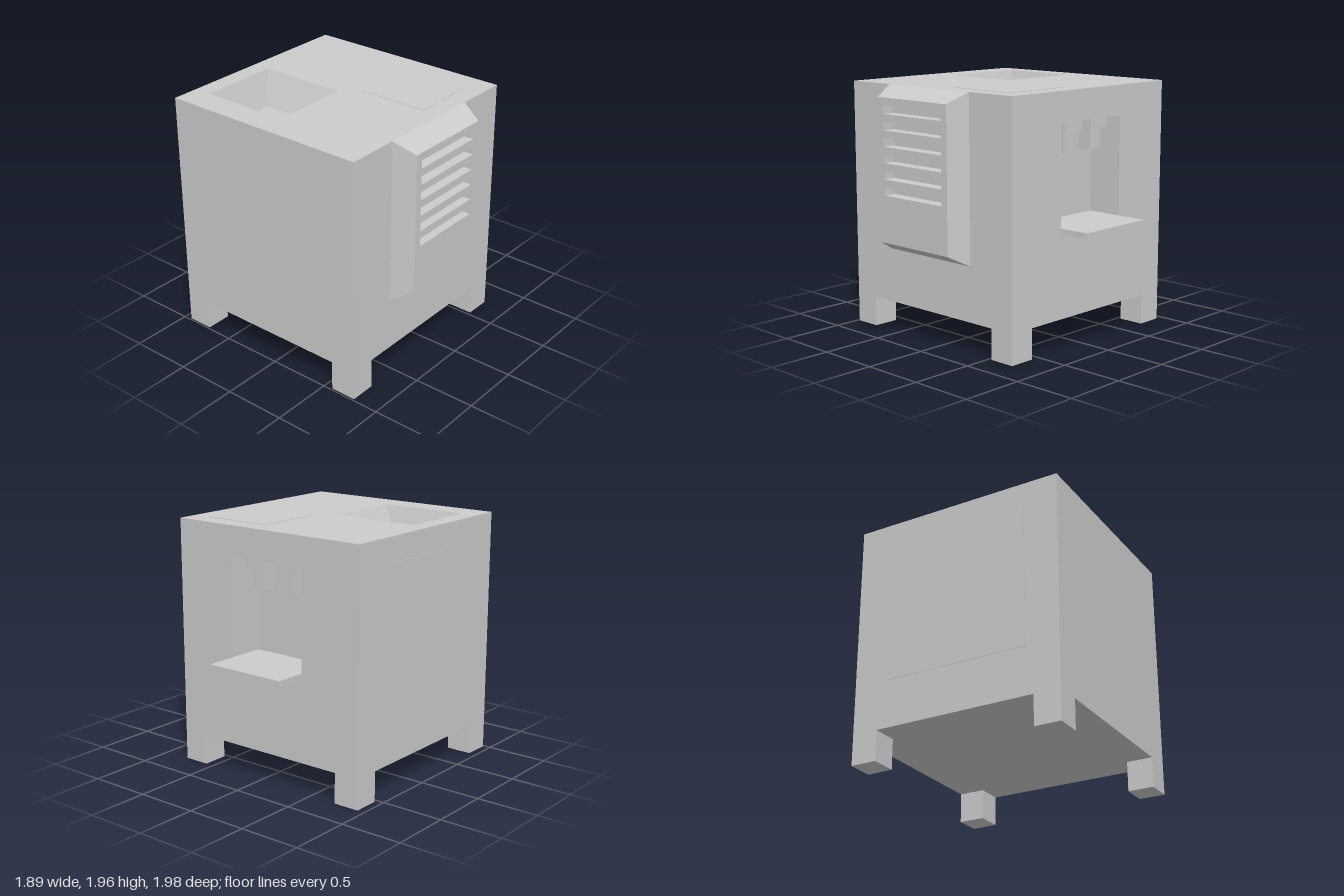
import * as THREE from 'three';
import { mergeGeometries } from 'three/addons/utils/BufferGeometryUtils.js';

const V = (x, y, z) => new THREE.Vector3(x, y, z);
const material = new THREE.MeshStandardMaterial({ color: 0xcccccc, flatShading: true });

// Each side has its own frame: u to the right, v up, d outward.
const frame = (u, v, d) => new THREE.Matrix4().makeBasis(u, v, d);
const SIDES = {
  front: frame(V(1, 0, 0), V(0, 1, 0), V(0, 0, 1)),
  back: frame(V(-1, 0, 0), V(0, 1, 0), V(0, 0, -1)),
  left: frame(V(0, 0, -1), V(0, 1, 0), V(1, 0, 0)),
  right: frame(V(0, 0, 1), V(0, 1, 0), V(-1, 0, 0)),
  top: frame(V(1, 0, 0), V(0, 0, -1), V(0, 1, 0)),
  bottom: frame(V(1, 0, 0), V(0, 0, 1), V(0, -1, 0)),
};

// Rectangles are [u0, v0, u1, v1].
const corners = ([a, b, c, d]) => [[a, b], [c, b], [c, d], [a, d]];

// Flat rectangle at height d with rectangular openings
function plate(rect, d, holes = []) {
  const path = (r) => corners(r).map(([x, y]) => new THREE.Vector2(x, y));
  const shape = new THREE.Shape(path(rect));
  shape.holes = holes.map((h) => new THREE.Path(path(h).reverse()));
  const g = new THREE.ShapeGeometry(shape).toNonIndexed();
  g.deleteAttribute('uv');
  return g.translate(0, 0, d);
}

// Four walls from one rectangle to another: a bump if d1 > d0, a pocket if d1 < d0
function walls(r0, d0, r1, d1) {
  const a = corners(r0), b = corners(r1), points = [];
  for (let i = 0; i < 4; i++) {
    const j = (i + 1) % 4;
    const q = [V(...a[i], d0), V(...a[j], d0), V(...b[j], d1), V(...b[i], d1)];
    points.push(q[0], q[1], q[2], q[0], q[2], q[3]);
  }
  const g = new THREE.BufferGeometry().setFromPoints(points);
  g.computeVertexNormals();
  return g;
}
const capped = (r0, d0, r1, d1) => [walls(r0, d0, r1, d1), plate(r1, d1)];

export function createModel() {
  const model = new THREE.Group();

  const add = (name, geometry) => {
    const mesh = new THREE.Mesh(geometry, material);
    mesh.name = name;
    model.add(mesh);
    return mesh;
  };
  const addOn = (side, name, parts) => add(name, mergeGeometries(parts).applyMatrix4(SIDES[side]));
  const box = (name, x0, x1, y0, y1, z0, z1) =>
    add(name, new THREE.BoxGeometry(x1 - x0, y1 - y0, z1 - z0)
      .translate((x0 + x1) / 2, (y0 + y1) / 2, (z0 + z1) / 2));

  // Cabinet extents
  const X0 = -0.94, X1 = 0.78, Y0 = 0.24, Y1 = 1.96, Z0 = -0.74, Z1 = 0.985;
  const hopper = [-0.8, -0.77, -0.08, -0.12];
  const bay = [-0.26, 0.92, 0.42, 1.725];

  // Cabinet sides
  addOn('front', 'frontWall', [plate([X0, Y0, X1, Y1], Z1)]);
  addOn('back', 'backWall', [plate([-X1, Y0, -X0, Y1], -Z0, [bay])]);
  addOn('left', 'leftWall', [plate([-Z1, Y0, -Z0, Y1], X1)]);
  addOn('right', 'rightWall', [plate([Z0, Y0, Z1, Y1], -X0)]);
  addOn('top', 'topWall', [plate([X0, -Z1, X1, -Z0], Y1, [hopper])]);
  addOn('bottom', 'underside', [plate([X0, Z0, X1, Z1], -Y0)]);

  // Tapered hopper sunk into the top
  addOn('top', 'hopper', capped(hopper, Y1, [-0.71, -0.68, -0.22, -0.24], Y1 - 0.26));

  // Nearly flush lid and service panel
  const lid = [0.06, 0, 0.63, 0.58], panel = [-0.44, 0.62, 0.71, 1.765];
  addOn('top', 'lid', capped(lid, Y1, lid, Y1 + 0.003));
  addOn('right', 'servicePanel', capped(panel, -X0, panel, -X0 + 0.003));

  // Bevelled vent housing with six slots
  const slots = [];
  for (let i = 0; i < 6; i++) slots.push([-0.44, 1.13 + i * 0.125, 0.19, 1.195 + i * 0.125]);
  const ventFace = [-0.5, 0.76, 0.25, 1.88];
  addOn('left', 'ventHousing', [
    walls([-0.56, 0.67, 0.31, 1.96], X1, ventFace, 0.95),
    plate(ventFace, 0.95, slots),
  ]);
  addOn('left', 'ventSlots', slots.flatMap((s) => capped(s, 0.95, s, 0.85)));

  // Dispensing bay, with a tray running out through its opening
  addOn('back', 'dispensingBay', capped(bay, -Z0, bay, 0.45));
  box('tray', -0.42, 0.26, 0.9, 0.94, -0.99, -0.45);

  // Two nozzles hanging from the bay ceiling, each with a square outlet
  for (const x of [0.067, -0.227]) {
    const z = -0.595, square = (r) => [x - r, z - r, x + r, z + r];
    box('nozzleBlock', x - 0.095, x + 0.095, 1.64, 1.725, z - 0.095, z + 0.095);
    const tip = square(0.057), outlet = square(0.025);
    addOn('bottom', 'nozzleTip', [
      walls(tip, -1.64, tip, -1.475),
      plate(tip, -1.475, [outlet]),
      ...capped(outlet, -1.475, outlet, -1.6),
    ]);
  }

  // Legs
  const leg = 0.21;
  for (const x of [X0, X1 - leg])
    for (const z of [Z0, Z1 - leg]) box('leg', x, x + leg, 0, Y0, z, z + leg);

  return model;
}
